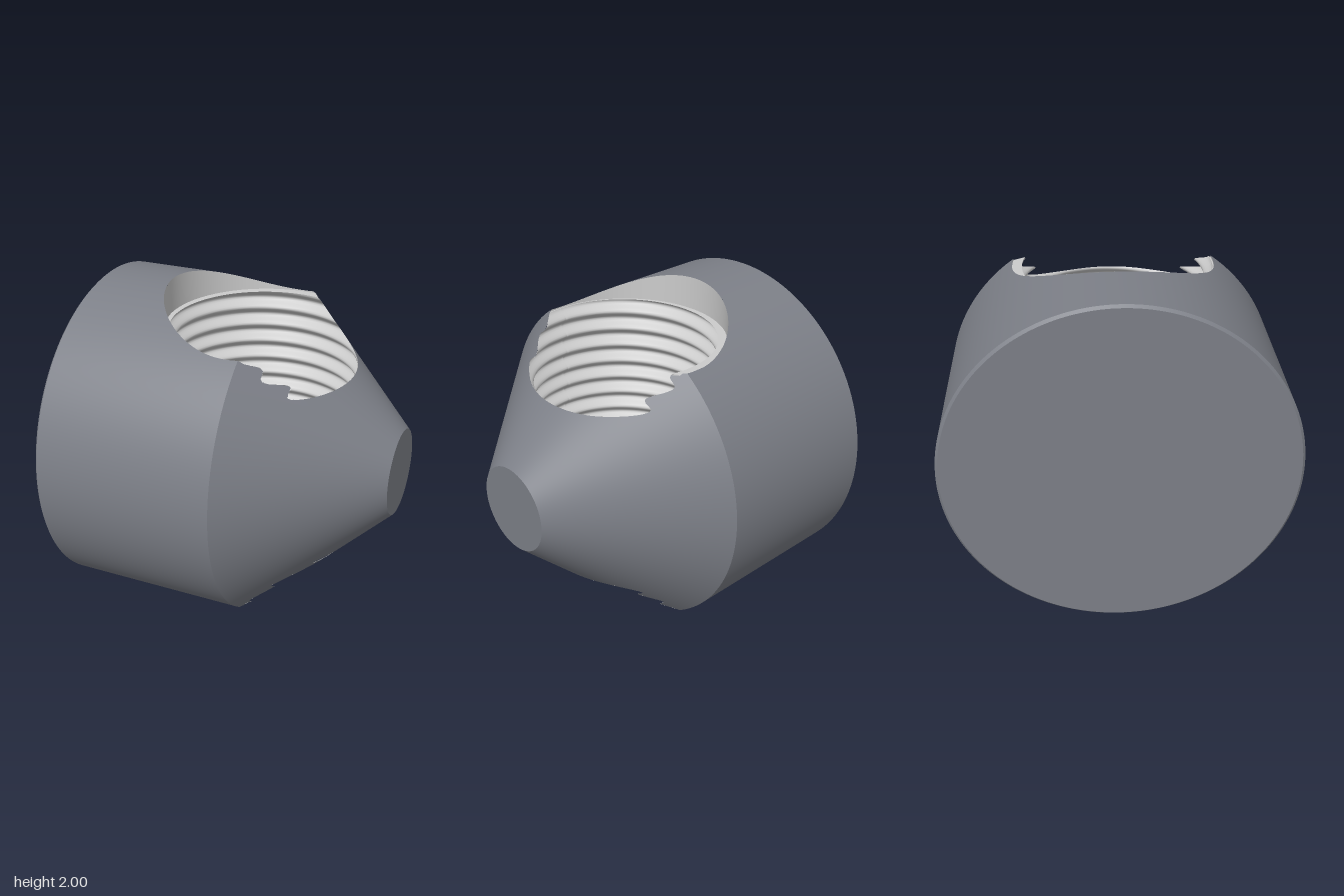
import * as THREE from 'three';

const CX = 0.08, BORE = 0.59, PITCH = 0.111, LOW = 0.2, HIGH = 1.8;
const SHOULDER = 0.155, END = 0.93, TIP = 0.26;

// Radius of the right-hand rounded thread at angle a (measured from +z towards +x) and height y
const threadRadius = (a, y) =>
  0.558 - 0.025 * Math.cos((2 * Math.PI * (y - 1.715)) / PITCH - a - Math.PI / 2);

// Positive outside the hole
const outsideHole = (x, y, z) => {
  const a = Math.atan2(x - CX, z);
  const r = y > HIGH || y < LOW ? BORE : threadRadius(a, y);
  return Math.hypot(x - CX, z) - r;
};

// Positive inside the solid of revolution about the x axis
const insideBody = (x, y, z) => {
  const r = Math.min(1, 1 - ((x - SHOULDER) * (1 - TIP)) / (END - SHOULDER));
  return r - Math.hypot(y - 1, z);
};

// Keep the part of a surface where f > 0, interpolating positions and normals along the cut
function clip(geometry, f) {
  const p = geometry.attributes.position, n = geometry.attributes.normal;
  const index = geometry.index, pos = [], nor = [];
  const vertex = (i) => {
    const v = [p.getX(i), p.getY(i), p.getZ(i), n.getX(i), n.getY(i), n.getZ(i)];
    return { v, d: f(v[0], v[1], v[2]) };
  };
  const verts = Array.from({ length: p.count }, (_, i) => vertex(i));
  for (let i = 0; i < index.count; i += 3) {
    const tri = [0, 1, 2].map((k) => verts[index.getX(i + k)]);
    const poly = [];
    tri.forEach((A, k) => {
      const B = tri[(k + 1) % 3];
      if (A.d > 0) poly.push(A.v);
      if (A.d > 0 !== B.d > 0) {
        const t = A.d / (A.d - B.d);
        poly.push(A.v.map((c, j) => c + (B.v[j] - c) * t));
      }
    });
    for (let k = 1; k + 1 < poly.length; k++) {
      for (const v of [poly[0], poly[k], poly[k + 1]]) {
        pos.push(v[0], v[1], v[2]);
        nor.push(v[3], v[4], v[5]);
      }
    }
  }
  const out = new THREE.BufferGeometry();
  out.setAttribute('position', new THREE.Float32BufferAttribute(pos, 3));
  out.setAttribute('normal', new THREE.Float32BufferAttribute(nor, 3));
  return out;
}

// Conical or cylindrical band of the body between two stations on the x axis
function band(x0, r0, x1, r1, rows) {
  const g = new THREE.CylinderGeometry(r1, r0, x1 - x0, 240, rows, true);
  g.rotateZ(-Math.PI / 2);
  g.translate((x0 + x1) / 2, 1, 0);
  return clip(g, outsideHole);
}

// Inward-facing ring of the hole; radius(a, y, v) with v running from bottom to top
function holeWall(y0, y1, rows, radius) {
  const g = new THREE.PlaneGeometry(1, 1, 160, rows);
  const p = g.attributes.position;
  for (let i = 0; i < p.count; i++) {
    const a = -2 * Math.PI * (p.getX(i) + 0.5), v = p.getY(i) + 0.5;
    const y = y0 + (y1 - y0) * v, r = radius(a, y, v);
    p.setXYZ(i, CX + r * Math.sin(a), y, r * Math.cos(a));
  }
  g.computeVertexNormals();
  return clip(g, insideBody);
}

export function createModel() {
  const group = new THREE.Group();
  const dark = new THREE.MeshStandardMaterial({ color: 0x7c7f87 });
  const light = new THREE.MeshStandardMaterial({ color: 0xcccccc, side: THREE.DoubleSide });
  const add = (name, geometry, material) => {
    const mesh = new THREE.Mesh(geometry, material);
    mesh.name = name;
    group.add(mesh);
    return mesh;
  };

  // Outer body: chamfer, barrel, cone and flat ends
  add('rearChamfer', band(-END, 0.985, -END + 0.015, 1, 1), dark);
  add('barrel', band(-END + 0.015, 1, SHOULDER, 1, 50), dark);
  add('cone', band(SHOULDER, 1, END, TIP, 56), dark);
  for (const [name, s, r] of [['rearFace', -1, 0.985], ['tipFace', 1, TIP]]) {
    const face = add(name, new THREE.CircleGeometry(r, 240), dark);
    face.rotation.y = (s * Math.PI) / 2;
    face.position.set(s * END, 1, 0);
  }

  // Vertical threaded hole with a plain counterbore and ledge at each end
  add('thread', holeWall(LOW, HIGH, 174, threadRadius), light);
  add('upperCounterbore', holeWall(HIGH, 2, 10, () => BORE), light);
  add('lowerCounterbore', holeWall(0, LOW, 10, () => BORE), light);
  const mix = (a, y, t) => THREE.MathUtils.lerp(threadRadius(a, y), BORE, t);
  add('upperLedge', holeWall(HIGH, HIGH, 2, (a, y, v) => mix(a, y, v)), light);
  add('lowerLedge', holeWall(LOW, LOW, 2, (a, y, v) => mix(a, y, 1 - v)), light);

  return group;
}
